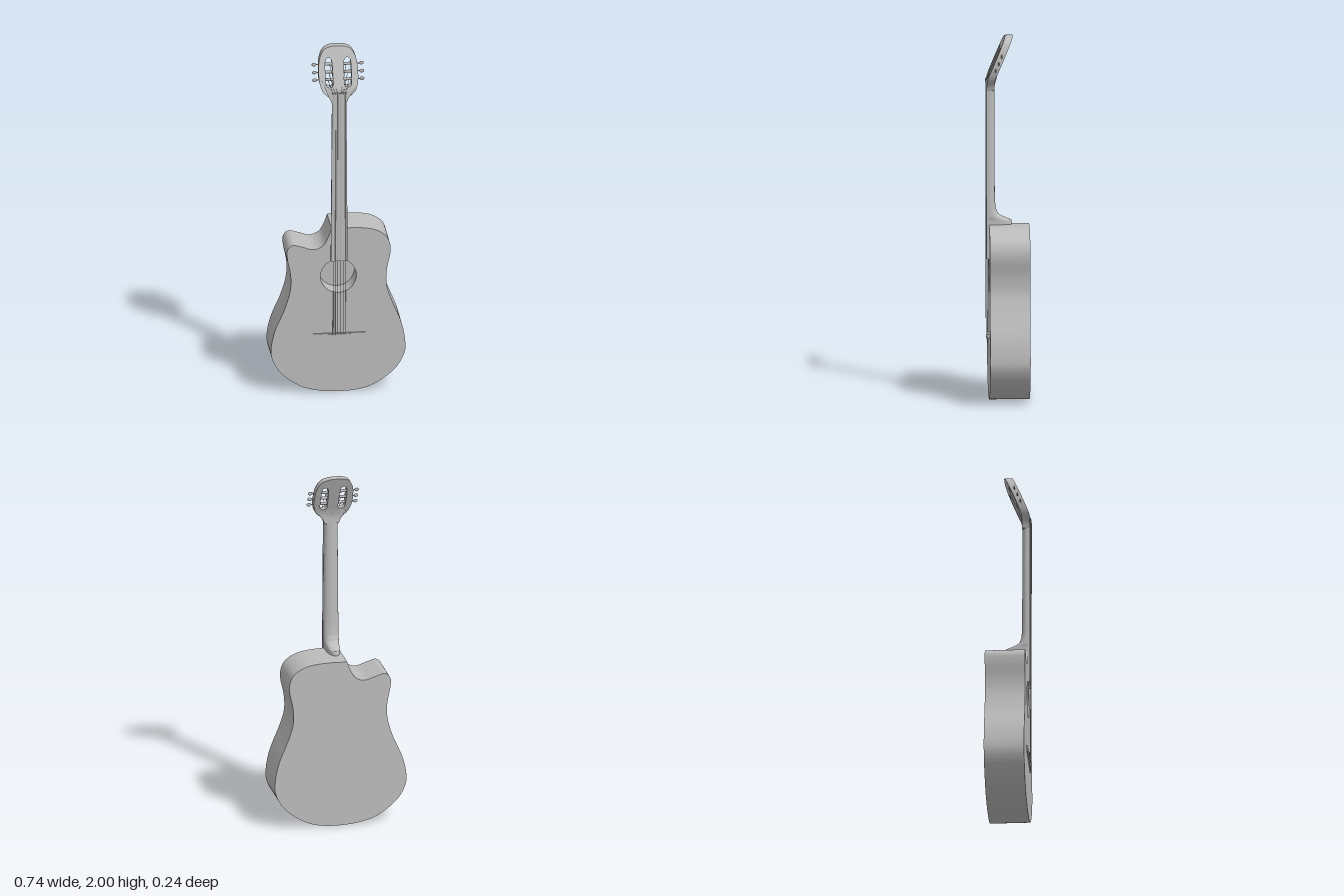
import * as THREE from 'three';
import { toCreasedNormals } from 'three/addons/utils/BufferGeometryUtils.js';
import { ParametricGeometry } from 'three/addons/geometries/ParametricGeometry.js';

const grey = new THREE.MeshStandardMaterial({ color: 0xbcbcbc, side: THREE.DoubleSide });
grey.name = 'grey';

const CX = 0.003; // centre line of neck and head
const V2 = (p) => new THREE.Vector2(p[0], p[1]);
const V3 = (x, y, z) => new THREE.Vector3(x, y, z);

function add(group, name, geometry, x = 0, y = 0, z = 0) {
  const mesh = new THREE.Mesh(geometry, grey);
  mesh.name = name;
  mesh.position.set(x, y, z);
  group.add(mesh);
  return mesh;
}

const extrude = (shape, depth) =>
  new THREE.ExtrudeGeometry(shape, { depth, bevelEnabled: false, curveSegments: 32 });

// Outline of the body, anticlockwise from the bottom, with a cutaway at -x
function bodyShape() {
  const shape = new THREE.Shape();
  shape.moveTo(0, 0);
  shape.splineThru([
    [0.09, 0.005], [0.19, 0.033], [0.30, 0.11], [0.358, 0.20], [0.366, 0.28], [0.345, 0.39],
    [0.29, 0.53], [0.264, 0.62], [0.266, 0.71], [0.284, 0.80], [0.282, 0.86], [0.255, 0.91],
    [0.19, 0.947], [0.09, 0.96], [-0.038, 0.957],
  ].map(V2));
  shape.splineThru([
    [-0.055, 0.91], [-0.085, 0.86], [-0.137, 0.84], [-0.2, 0.858], [-0.25, 0.869], [-0.28, 0.84],
    [-0.28, 0.787], [-0.262, 0.69], [-0.265, 0.60], [-0.295, 0.495], [-0.35, 0.363],
    [-0.37, 0.25], [-0.352, 0.175], [-0.3, 0.105], [-0.2, 0.035], [-0.09, 0.006], [0, 0],
  ].map(V2));
  shape.holes.push(new THREE.Path().absarc(0, 0.68, 0.098, 0, Math.PI * 2, true));
  return shape;
}

// The head leans back from the nut
const lean = (y) => -Math.max(0, y - 1.765) * 0.42;

function headGeometry() {
  const half = [
    [0.04, 1.70], [0.055, 1.735], [0.09, 1.77], [0.106, 1.82], [0.108, 1.87],
    [0.102, 1.93], [0.08, 1.977], [0.045, 1.996],
  ];
  const shape = new THREE.Shape();
  shape.moveTo(half[0][0], half[0][1]);
  shape.splineThru([...half.slice(1), [0, 2], ...half.slice().reverse().map(([x, y]) => [-x, y])].map(V2));
  shape.closePath();
  for (const s of [-1, 1]) {
    const slot = new THREE.Path();
    slot.moveTo(s * 0.030, 1.805);
    slot.splineThru([
      [0.038, 1.792], [0.058, 1.792], [0.070, 1.81], [0.071, 1.90], [0.066, 1.932],
      [0.05, 1.942], [0.037, 1.932], [0.032, 1.90], [0.030, 1.805],
    ].map(([x, y]) => new THREE.Vector2(s * x, y)));
    shape.holes.push(slot);
  }
  const geometry = extrude(shape, 0.042);
  const p = geometry.attributes.position;
  for (let i = 0; i < p.count; i++) p.setZ(i, p.getZ(i) + 0.069 + lean(p.getY(i)));
  geometry.computeVertexNormals();
  return toCreasedNormals(geometry, 0.6);
}

// Half-round neck flaring into the heel: height, half width, back depth
function neckGeometry() {
  const rows = [
    [1.77, 0.042, 0.069], [1.70, 0.038, 0.069], [1.10, 0.043, 0.067], [1.05, 0.043, 0.062],
    [1.02, 0.043, 0.050], [1.005, 0.042, 0.030], [0.995, 0.040, 0.005], [0.985, 0.038, -0.022],
    [0.975, 0.038, -0.026], [0.94, 0.038, -0.026],
  ];
  return new ParametricGeometry((u, v, target) => {
    const t = v * (rows.length - 1);
    const i = Math.min(Math.floor(t), rows.length - 2);
    const [y, w, back] = rows[i].map((a, k) => THREE.MathUtils.lerp(a, rows[i + 1][k], t - i));
    const a = u * Math.PI;
    target.set(CX - w * Math.cos(a), y, 0.104 + (back - 0.104) * Math.pow(Math.sin(a), 0.7));
  }, 20, 27);
}

export function createModel() {
  const guitar = new THREE.Group();
  guitar.name = 'guitar';

  // Body, soundboard and the floor of the sound hole
  const outline = bodyShape();
  add(guitar, 'body', toCreasedNormals(extrude(outline, 0.208), 0.6), 0, 0, -0.12);
  add(guitar, 'soundboard', toCreasedNormals(extrude(outline, 0.012), 0.6), 0, 0, 0.088);
  const floor = new THREE.CylinderGeometry(0.0985, 0.0985, 0.12, 64).rotateX(Math.PI / 2);
  add(guitar, 'soundHoleFloor', floor, 0, 0.68, -0.06);

  // Bridge and saddle
  add(guitar, 'bridge', new THREE.BoxGeometry(0.29, 0.034, 0.008), 0.004, 0.328, 0.103);
  add(guitar, 'saddle', new THREE.BoxGeometry(0.125, 0.009, 0.008), 0.004, 0.337, 0.109);

  // Neck, fretboard and nut
  add(guitar, 'neck', neckGeometry());
  const board = new THREE.Shape([[-0.046, 0.772], [0.046, 0.772], [0.039, 1.755], [-0.039, 1.755]].map(V2));
  add(guitar, 'fretboard', extrude(board, 0.013), CX, 0, 0.1);
  add(guitar, 'nut', new THREE.BoxGeometry(0.078, 0.008, 0.012), CX, 1.757, 0.11);

  // Slotted head
  add(guitar, 'head', headGeometry(), CX);

  // Tuners: a roller across each slot, a shaft and a knob
  const heights = [1.825, 1.863, 1.903];
  for (const s of [-1, 1]) {
    heights.forEach((y, i) => {
      const tuner = new THREE.Group();
      tuner.name = 'tuner';
      tuner.position.set(CX, y, 0.09 + lean(y));
      const roller = new THREE.CylinderGeometry(0.008, 0.008, 0.05, 12).rotateZ(Math.PI / 2);
      add(tuner, 'roller', roller, s * 0.05);
      const shaft = new THREE.CylinderGeometry(0.003, 0.003, 0.05, 8).rotateZ(Math.PI / 2);
      add(tuner, 'shaft', shaft, s * 0.105);
      const knob = new THREE.SphereGeometry(0.013, 14, 10).scale(1, 0.8, 0.3);
      add(tuner, 'knob', knob, s * 0.13);
      guitar.add(tuner);

      // String from the saddle over the nut to its roller
      const x = s * (0.033 - i * 0.0125);
      const path = new THREE.CurvePath();
      const points = [
        V3(CX + x * 1.05, 0.337, 0.114), V3(CX + x, 1.757, 0.117),
        V3(CX + s * (0.058 - i * 0.006), y, 0.098 + lean(y)),
      ];
      for (let k = 0; k < 2; k++) path.add(new THREE.LineCurve3(points[k], points[k + 1]));
      for (const line of path.curves) add(guitar, 'string', new THREE.TubeGeometry(line, 1, 0.0014, 6));
    });
  }
  return guitar;
}
